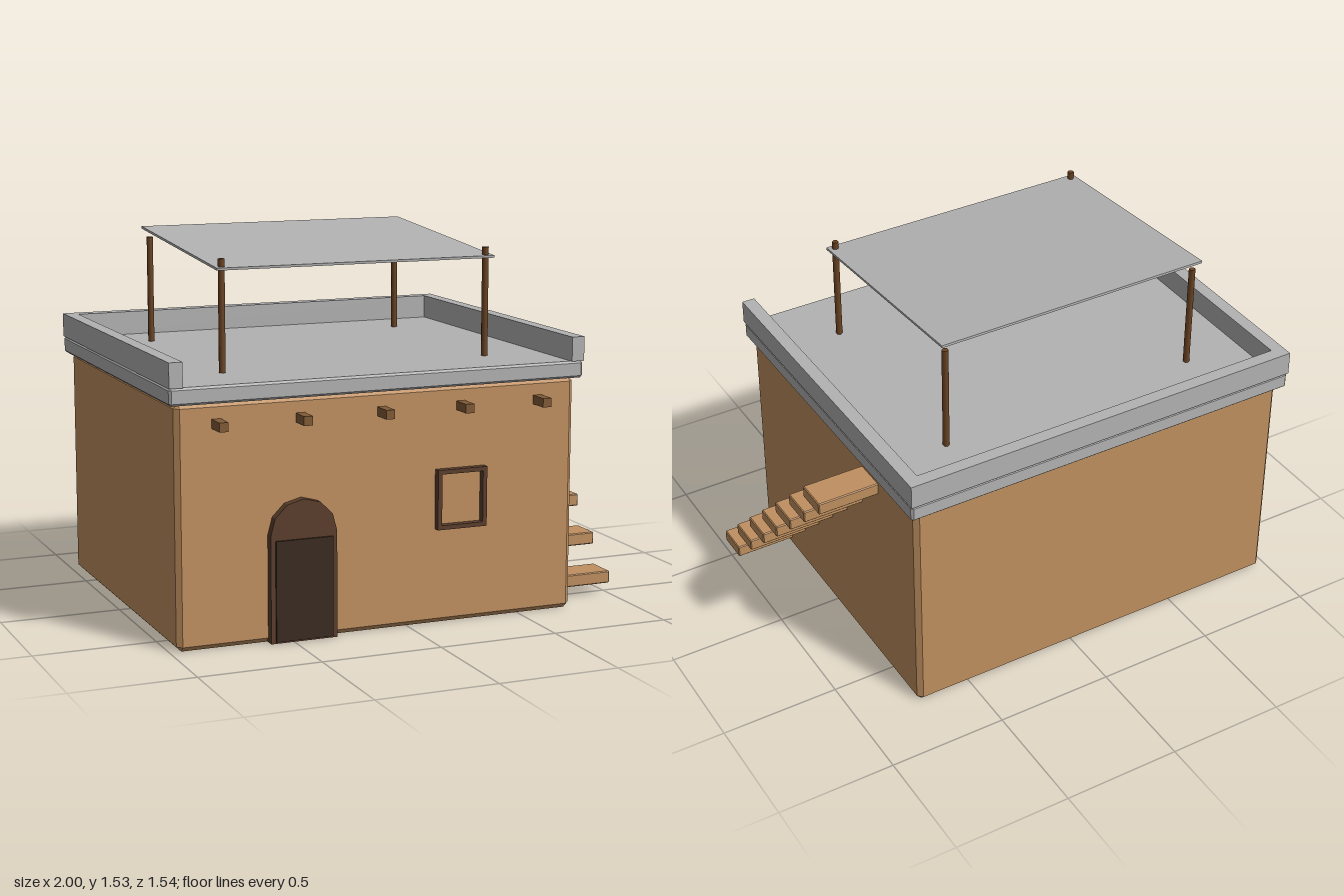
import * as THREE from 'three';
import { ConvexGeometry } from 'three/addons/geometries/ConvexGeometry.js';

const mat = (name, color) => {
  const m = new THREE.MeshStandardMaterial({ color });
  m.name = name;
  return m;
};

// Box with chamfered edges
function chamferBox(w, h, d, b) {
  const pts = [];
  for (const sx of [-1, 1]) for (const sy of [-1, 1]) for (const sz of [-1, 1]) {
    for (let axis = 0; axis < 3; axis++) {
      pts.push(new THREE.Vector3(
        sx * (w / 2 - (axis === 0 ? 0 : b)),
        sy * (h / 2 - (axis === 1 ? 0 : b)),
        sz * (d / 2 - (axis === 2 ? 0 : b))));
    }
  }
  return new ConvexGeometry(pts);
}

export function createModel() {
  const clay = mat('clay', 0xc09060);
  const stone = mat('grey stone', 0xb2b2b2);
  const beamWood = mat('beam wood', 0x805a36);
  const postWood = mat('post wood', 0x6b4423);
  const frameWood = mat('frame wood', 0x5a3e2c);
  const doorWood = mat('door wood', 0x3a2a20);

  const house = new THREE.Group();
  house.name = 'house';
  const add = (name, geo, material, x, y, z) => {
    const mesh = new THREE.Mesh(geo, material);
    mesh.name = name;
    mesh.position.set(x, y, z);
    house.add(mesh);
    return mesh;
  };
  const box = (w, h, d) => new THREE.BoxGeometry(w, h, d);
  const cx = -0.117, cz = -0.028;

  // Walls and roof slab
  add('walls', chamferBox(1.71, 0.975, 1.426, 0.02), clay, cx, 0.4875, cz);
  add('roofSlab', chamferBox(1.766, 0.07, 1.476, 0.009), stone, cx, 1.005, cz - 0.003);

  // Parapet on three sides, open at the front
  for (const s of [-1, 1])
    add('sideParapet', box(0.055, 0.1, 1.484), stone, cx + s * 0.857, 1.09, -0.03);
  add('backParapet', box(1.66, 0.1, 0.055), stone, cx, 1.09, -0.7445);

  // Roof canopy on four posts
  const post = new THREE.CylinderGeometry(0.0135, 0.0135, 0.45, 6);
  for (const x of [-0.69, 0.455]) for (const z of [0.43, -0.485])
    add('canopyPost', post, postWood, x, 1.265, z);
  const canopy = add('canopy', box(1.2, 0.01, 0.972), stone, cx, 1.49, -0.028);
  canopy.rotation.x = 0.08;

  // Projecting roof beams
  for (let i = 0; i < 5; i++)
    add('roofBeam', box(0.037, 0.037, 0.12), beamWood, -0.806 + i * 0.344, 0.89, 0.712);

  // Arched doorway and door
  const arch = new THREE.Shape();
  arch.moveTo(-0.139, 0);
  arch.lineTo(0.139, 0);
  for (let i = 0; i <= 6; i++) {
    const a = i * Math.PI / 6;
    arch.lineTo(0.139 * Math.cos(a), 0.432 + 0.139 * Math.sin(a));
  }
  add('doorArch', new THREE.ExtrudeGeometry(arch, { depth: 0.06, bevelEnabled: false }),
    frameWood, -0.461, 0.003, 0.66);
  add('door', box(0.24, 0.405, 0.03), doorWood, -0.461, 0.213, 0.714);

  // Window frame
  const frame = new THREE.Shape();
  const rect = (path, w, h) => path.setFromPoints([[-1, -1], [1, -1], [1, 1], [-1, 1], [-1, -1]]
    .map(([x, y]) => new THREE.Vector2(x * w / 2, y * h / 2)));
  rect(frame, 0.217, 0.245);
  frame.holes.push(rect(new THREE.Path(), 0.181, 0.209));
  add('windowFrame', new THREE.ExtrudeGeometry(frame, { depth: 0.04, bevelEnabled: false }),
    frameWood, 0.225, 0.515, 0.675);

  // Floating side steps
  const step = chamferBox(0.264, 0.052, 0.138, 0.004);
  for (let i = 0; i < 7; i++)
    add('step', step, clay, 0.867, 0.073 + i * 0.1377, 0.487 - i * 0.143);

  return house;
}
